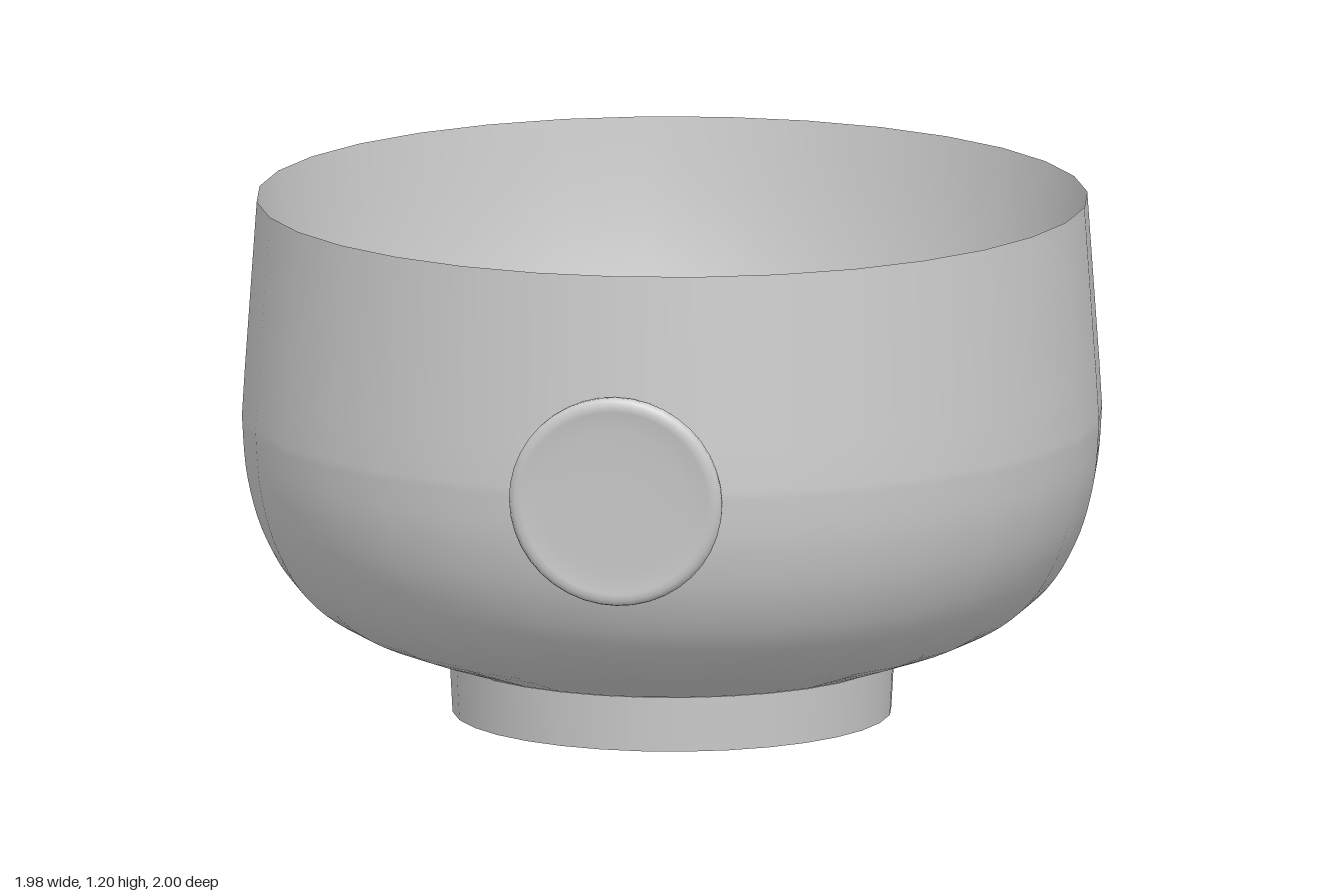
import * as THREE from 'three';

const SIDES = 32;
const CENTRE_Z = -0.011;

const material = new THREE.MeshStandardMaterial({ color: 0xcccccc, side: THREE.DoubleSide });

function lathe(name, points, sides = SIDES) {
  const profile = points.map(([r, y]) => new THREE.Vector2(r, y));
  const mesh = new THREE.Mesh(new THREE.LatheGeometry(profile, sides), material);
  mesh.name = name;
  return mesh;
}

// Smooth profile through a few radius and height pairs
function smooth(points) {
  return new THREE.SplineCurve(points.map(([r, y]) => new THREE.Vector2(r, y)))
    .getPoints(24).map((p) => [p.x, p.y]);
}

// Bowl: rounded belly outside, rounder hollow inside, meeting in a sharp rim
function makeBowl() {
  const bowl = new THREE.Group();
  bowl.name = 'bowl';
  const belly = smooth([
    [0.51, 0.128], [0.73, 0.205], [0.86, 0.295], [0.938, 0.42], [0.978, 0.56], [0.99, 0.7],
  ]);
  const hollow = smooth([
    [0, 0.17], [0.2, 0.178], [0.4, 0.21], [0.55, 0.265], [0.68, 0.35],
    [0.79, 0.49], [0.87, 0.7], [0.925, 0.95], [0.956, 1.2],
  ]);
  bowl.add(
    lathe('bowlOutside', [...belly, [0.984, 0.8], [0.956, 1.2]]),
    lathe('bowlInside', hollow.reverse()),
  );
  return bowl;
}

// Hollow foot ring; each band is separate so its edges stay sharp
function makeFoot() {
  const foot = new THREE.Group();
  foot.name = 'foot';
  foot.add(
    lathe('footCeiling', [[0, 0.126], [0.445, 0.126]]),
    lathe('footInside', [[0.445, 0.126], [0.445, 0]]),
    lathe('footUnderside', [[0.445, 0], [0.505, 0]]),
    lathe('footOutside', [[0.505, 0], [0.512, 0.128]]),
  );
  return foot;
}

// Round dished medallion, leaning slightly forward at the top
function makeMedallion() {
  const medallion = lathe('medallion', [
    [0.24, -0.05], [0.246, -0.03], [0.247, -0.016], [0.243, -0.006], [0.232, 0],
    [0.218, 0], [0.207, -0.003], [0.17, -0.005], [0.1, -0.006], [0, -0.006],
  ], 40);
  medallion.rotation.x = Math.PI / 2 + 0.07;
  medallion.position.set(0, 0.675, 0.984);
  return medallion;
}

export function createModel() {
  const model = new THREE.Group();
  model.name = 'footedBowl';
  const vessel = new THREE.Group();
  vessel.name = 'vessel';
  vessel.position.z = CENTRE_Z;
  vessel.add(makeBowl(), makeFoot());
  model.add(vessel, makeMedallion());
  return model;
}
